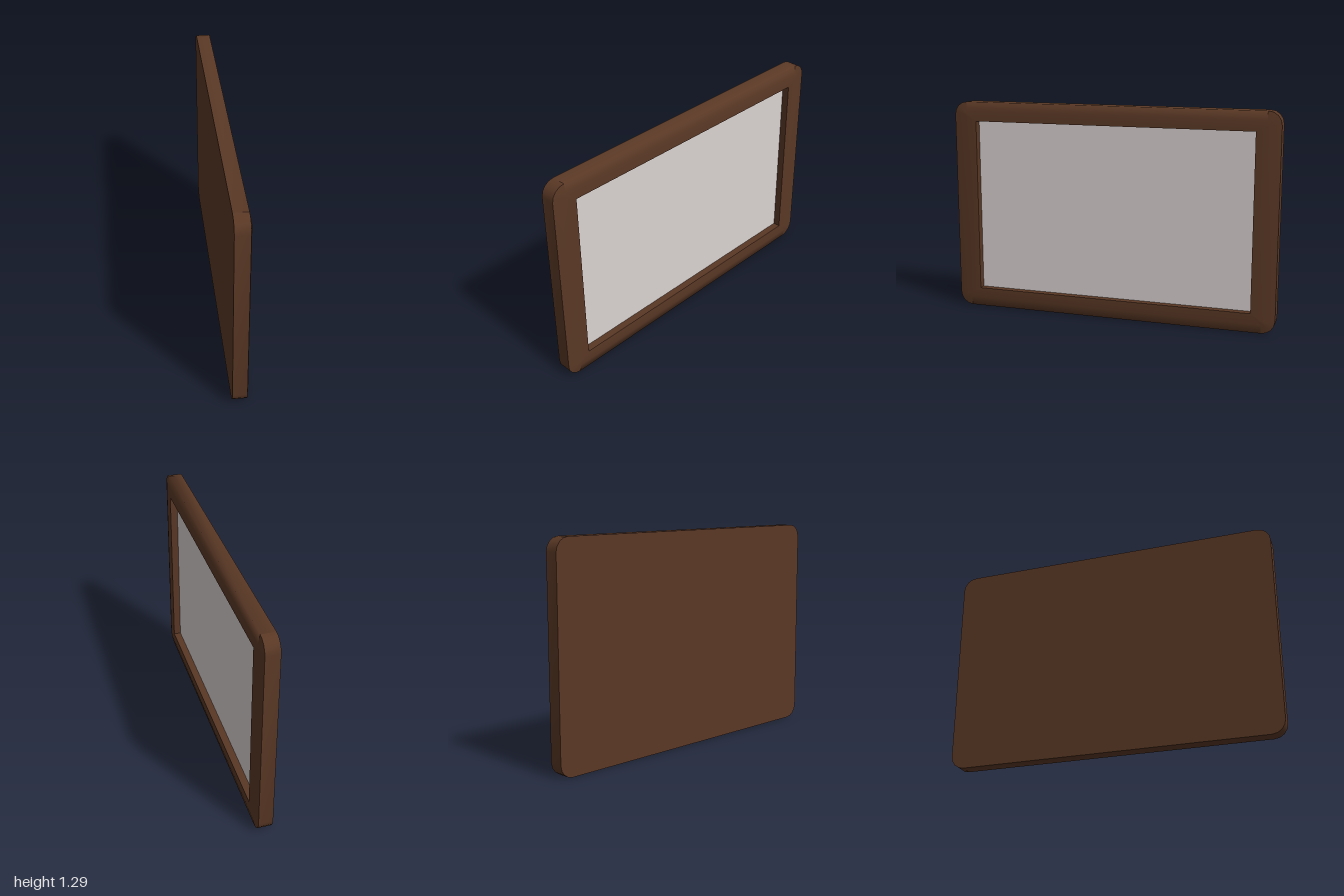
import * as THREE from 'three';
import { toCreasedNormals } from 'three/addons/utils/BufferGeometryUtils.js';

const CENTRE_Y = 0.645;
const CORNER_STEPS = 4;

// Rounded rectangle in the y-z plane at depth x; starts at +z and runs over the top
function ring(x, halfZ, halfY, radius = 0) {
  const points = [];
  [[1, 1], [-1, 1], [-1, -1], [1, -1]].forEach(([sz, sy], corner) => {
    for (let i = 0; i <= CORNER_STEPS; i++) {
      const a = (corner + i / CORNER_STEPS) * Math.PI / 2;
      points.push(new THREE.Vector3(
        x,
        CENTRE_Y + sy * (halfY - radius) + radius * Math.sin(a),
        sz * (halfZ - radius) + radius * Math.cos(a)
      ));
    }
  });
  return points;
}

// Skin a row of rings, keeping only the segments accepted by the filter
function skin(rings, crease, keep = () => true) {
  const positions = [];
  const triangle = (a, b, c) => {
    if (a.distanceTo(b) < 1e-6 || b.distanceTo(c) < 1e-6 || c.distanceTo(a) < 1e-6) return;
    for (const p of [a, b, c]) positions.push(p.x, p.y, p.z);
  };
  for (let r = 0; r < rings.length - 1; r++) {
    const A = rings[r], B = rings[r + 1];
    for (let i = 0; i < A.length; i++) {
      if (!keep(i)) continue;
      const j = (i + 1) % A.length;
      triangle(A[i], B[i], B[j]);
      triangle(A[i], B[j], A[j]);
    }
  }
  const geometry = new THREE.BufferGeometry();
  geometry.setAttribute('position', new THREE.Float32BufferAttribute(positions, 3));
  geometry.computeVertexNormals();
  return toCreasedNormals(geometry, crease);
}

export function createModel() {
  const wood = new THREE.MeshStandardMaterial({ color: 0x5a3825 });
  wood.name = 'brown wood';
  const pale = new THREE.MeshStandardMaterial({ color: 0xdad3d1 });
  pale.name = 'pale panel';

  const group = new THREE.Group();
  group.name = 'wallFrame';
  const add = (name, geometry, material) => {
    const mesh = new THREE.Mesh(geometry, material);
    mesh.name = name;
    group.add(mesh);
  };

  const back = ring(-0.048, 1, 0.645, 0.08);
  const edge = ring(0.036, 1, 0.645, 0.08);
  const bevel = ring(0.047, 0.945, 0.59, 0.025);
  const lip = ring(0.047, 0.857, 0.528);
  const recess = ring(0.003, 0.857, 0.528);
  const centre = (x) => ring(x, 0, 0);

  // The long top and bottom segments form softly rounded rails
  const isRail = (i) => i === CORNER_STEPS || i === 3 * CORNER_STEPS + 2;
  const moulding = [back, edge, bevel, lip];
  add('rails', skin(moulding, 1.5, isRail), wood);
  add('stilesAndCorners', skin(moulding, 0.6, (i) => !isRail(i)), wood);

  add('innerReveal', skin([lip, recess], 0.5), wood);
  add('backBoard', skin([centre(-0.048), back], 0.5), wood);
  add('picturePanel', skin([recess, centre(0.003)], 0.5), pale);

  return group;
}
